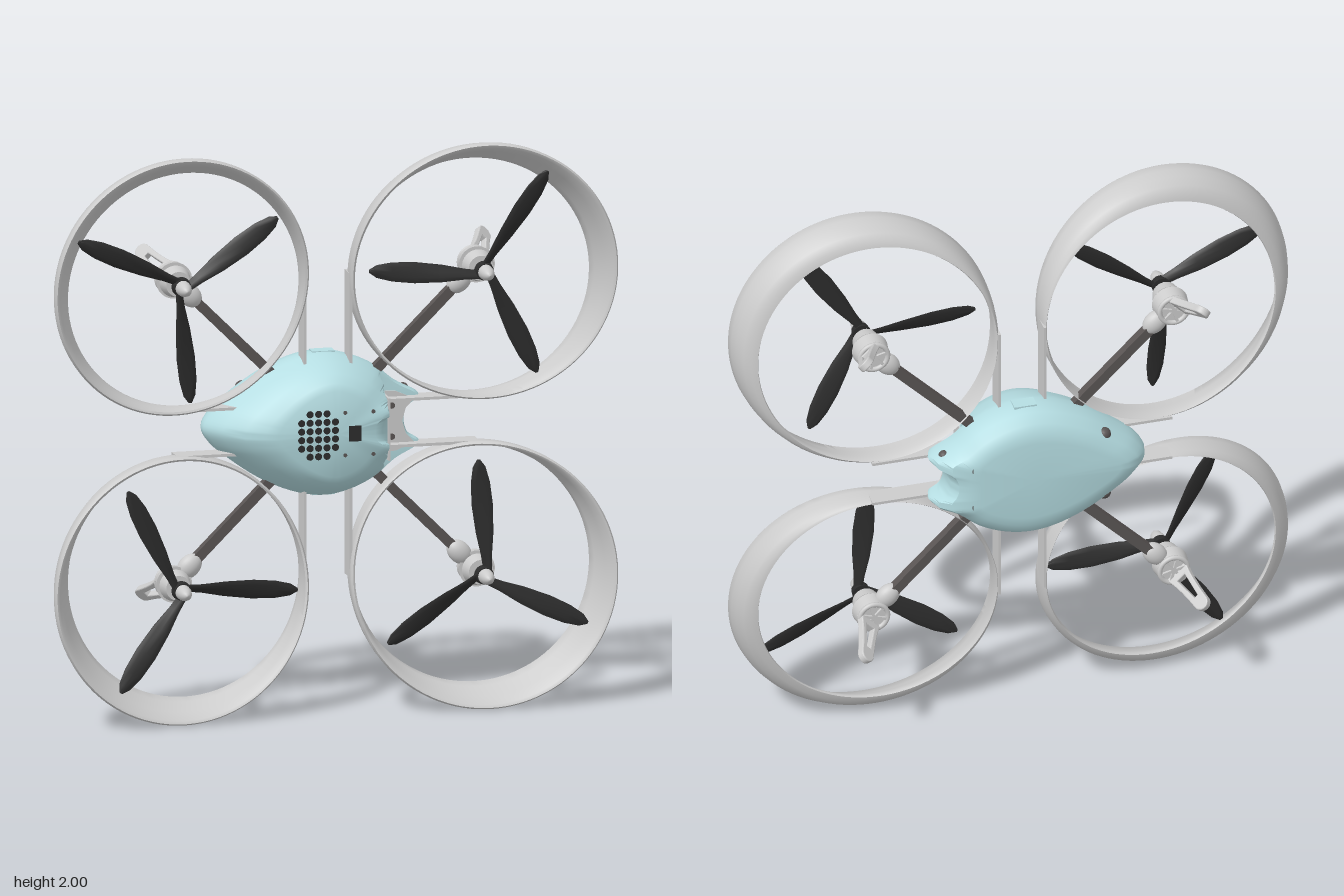
import * as THREE from 'three';
import { toCreasedNormals } from 'three/addons/utils/BufferGeometryUtils.js';

const mat = (color) => new THREE.MeshStandardMaterial({ color, side: THREE.DoubleSide });
const grey = mat(0xcccccc), blue = mat(0xb5dde2), dark = mat(0x2c2c2c), armGrey = mat(0x5a5554);

function add(parent, name, geometry, material, x = 0, y = 0, z = 0) {
  const mesh = new THREE.Mesh(geometry, material);
  mesh.name = name;
  mesh.position.set(x, y, z);
  parent.add(mesh);
  return mesh;
}

// Skin over closed cross-sections; wrap joins last to first, otherwise both ends are capped
function loft(sections, wrap, crease = 0.6) {
  const n = sections[0].length, m = sections.length, pos = [], idx = [];
  sections.forEach((s) => s.forEach((p) => pos.push(p.x, p.y, p.z)));
  for (let i = 0; i < (wrap ? m : m - 1); i++) {
    for (let j = 0; j < n; j++) {
      const k = (j + 1) % n, a = i * n, b = ((i + 1) % m) * n;
      idx.push(a + j, a + k, b + k, a + j, b + k, b + j);
    }
  }
  if (!wrap) {
    [0, m - 1].forEach((i) => {
      const c = new THREE.Vector3(), base = i * n, centre = pos.length / 3;
      sections[i].forEach((p) => c.addScaledVector(p, 1 / n));
      pos.push(c.x, c.y, c.z);
      for (let j = 0; j < n; j++) {
        const k = (j + 1) % n;
        if (i) idx.push(centre, base + j, base + k);
        else idx.push(centre, base + k, base + j);
      }
    });
  }
  const g = new THREE.BufferGeometry();
  g.setAttribute('position', new THREE.Float32BufferAttribute(pos, 3));
  g.setIndex(idx);
  return toCreasedNormals(g, crease);
}

// Cylinder whose axis lies along z
const disc = (rFront, rBack, depth, sides = 28) =>
  new THREE.CylinderGeometry(rFront, rBack, depth, sides).rotateX(Math.PI / 2);

// Propeller guard: deep on the outward side (+x), shallow on the inward side
function guardGeometry() {
  // [shift toward the smaller back edge, depth fraction, inset]
  const profile = [[0, 0, 0.006], [0, 0.07, 0], [0.04, 0.3, 0], [0.15, 0.55, 0], [0.38, 0.8, 0], [0.7, 0.95, 0],
    [1, 1, 0], [1, 0.95, 0.003], [0.75, 0.72, 0.01], [0.35, 0.4, 0.012], [0.06, 0.04, 0.012]];
  const sections = [];
  for (let i = 0; i < 96; i++) {
    const t = (i / 96) * Math.PI * 2, d = Math.cos(t);
    const front = 0.139 + 0.07 * d - 0.02 * d * d, back = 0.01 + 0.045 * d;
    sections.push(profile.map(([s, u, inset]) => {
      const r = 0.4625 - 0.042 * s - inset;
      return new THREE.Vector3(r * d - 0.042 * s, r * Math.sin(t), front + (back - front) * u);
    }));
  }
  return loft(sections, true, 0.9);
}

// Twisted blade along +x; hand sets the turning direction
function bladeGeometry(hand) {
  const stations = [[0.015, 0.016, 0.6], [0.07, 0.02, 0.55], [0.15, 0.031, 0.42], [0.25, 0.037, 0.3],
    [0.33, 0.033, 0.22], [0.385, 0.022, 0.17], [0.41, 0.006, 0.15]];
  const sections = stations.map(([r, half, pitch]) => Array.from({ length: 12 }, (_, j) => {
    const a = (j / 12) * Math.PI * 2, w = half * Math.cos(a), h = 0.006 * Math.sin(a), p = pitch * hand;
    return new THREE.Vector3(r, w * Math.cos(p) - h * Math.sin(p) + hand * (0.012 - r * 0.03), w * Math.sin(p) + h * Math.cos(p));
  }));
  return loft(sections, false, 1);
}

function createRotor(angle, hand) {
  const rotor = new THREE.Group();
  rotor.name = 'rotor';
  const blade = bladeGeometry(hand);
  for (let i = 0; i < 3; i++) add(rotor, 'blade', blade, dark).rotation.z = angle + (i * Math.PI * 2) / 3;
  add(rotor, 'rotorHub', disc(0.03, 0.034, 0.03), dark);
  const spinner = [[0.027, 0], [0.026, 0.025], [0.02, 0.05], [0.01, 0.066], [0, 0.07]].map((p) => new THREE.Vector2(...p));
  add(rotor, 'spinner', new THREE.LatheGeometry(spinner, 24).rotateX(Math.PI / 2), grey, 0, 0, 0.01);
  return rotor;
}

// Slotted landing leg, length along +y
function legGeometry() {
  const s = new THREE.Shape();
  s.moveTo(-0.045, 0);
  s.lineTo(0.045, 0);
  s.quadraticCurveTo(0.026, 0.05, 0.024, 0.155);
  s.absarc(0, 0.155, 0.024, 0, Math.PI, false);
  s.quadraticCurveTo(-0.026, 0.05, -0.045, 0);
  const slot = new THREE.Path();
  slot.moveTo(-0.022, 0.03);
  slot.lineTo(-0.011, 0.13);
  slot.lineTo(0.011, 0.13);
  slot.lineTo(0.022, 0.03);
  s.holes.push(slot);
  return new THREE.ExtrudeGeometry(s, { depth: 0.018, bevelSize: 0.004, bevelThickness: 0.004, bevelSegments: 2, curveSegments: 10 })
    .translate(0, 0, -0.009);
}

// One arm assembly in a frame whose +x points away from the body
function createArm(guard, leg) {
  const g = new THREE.Group();
  add(g, 'propellerGuard', guard, grey);
  add(g, 'arm', new THREE.BoxGeometry(0.5, 0.034, 0.032), armGrey, -0.31, 0, -0.015);
  const socket = add(g, 'armSocket', new THREE.SphereGeometry(0.042, 20, 14), grey, -0.082, 0, -0.012);
  socket.scale.set(1.2, 0.9, 0.75);

  // Motor: base, bell, shaft and spoked back
  add(g, 'motorBase', disc(0.064, 0.056, 0.05), grey, 0, 0, -0.018);
  add(g, 'motorGap', disc(0.046, 0.046, 0.02), dark, 0, 0, 0.014);
  add(g, 'motorBell', disc(0.044, 0.056, 0.05), grey, 0, 0, 0.045);
  add(g, 'motorShaft', disc(0.016, 0.016, 0.06), grey, 0, 0, 0.09);
  add(g, 'motorRim', new THREE.TorusGeometry(0.05, 0.009, 10, 32), grey, 0, 0, -0.045);
  for (let i = 0; i < 3; i++) {
    add(g, 'motorSpoke', new THREE.BoxGeometry(0.1, 0.01, 0.012), grey, 0, 0, -0.046).rotation.z = (i * Math.PI) / 3;
  }

  const foot = add(g, 'landingLeg', leg, grey, 0.022, 0, -0.035);
  const X = new THREE.Vector3(0, 1, 0), Y = new THREE.Vector3(0.45, 0, -0.89).normalize();
  foot.quaternion.setFromRotationMatrix(new THREE.Matrix4().makeBasis(X, Y, X.clone().cross(Y)));

  // Straight strips running from the guard to the body
  const strips = new THREE.Group();
  strips.name = 'guardStrips';
  strips.rotation.z = -Math.PI / 4;
  add(strips, 'guardStrip', new THREE.BoxGeometry(0.01, 0.34, 0.075), grey, -0.456, -0.17, 0.008);
  add(strips, 'guardStrip', new THREE.BoxGeometry(0.34, 0.01, 0.075), grey, -0.17, -0.456, 0.008);
  g.add(strips);
  return g;
}

function createBody() {
  const body = new THREE.Group();
  body.name = 'body';
  body.position.y = 1;
  const half = [[0.285, 0], [0.3, 0.05], [0.342, 0.082], [0.255, 0.135], [0.18, 0.195], [0.09, 0.236], [0, 0.252],
    [-0.1, 0.238], [-0.22, 0.188], [-0.33, 0.115], [-0.4, 0.055], [-0.43, 0]];
  const points = [...half, ...half.slice(1, -1).reverse().map(([x, y]) => [x, -y])];
  const outline = new THREE.CatmullRomCurve3(points.map(([x, y]) => new THREE.Vector3(x, y, 0)), true).getPoints(110).slice(0, -1);
  // [z, width scale, height scale, right limit]
  const layers = [[-0.16, 0.74, 0.6, 0.18], [-0.155, 0.81, 0.73, 0.22], [-0.137, 0.9, 0.87, 0.28], [-0.1, 0.97, 0.97, 0.32],
    [-0.05, 1, 1, 0.35], [-0.02, 0.995, 1, 0.35], [0, 0.97, 0.99, 0.35], [0.004, 0.965, 0.985, 0.195], [0.06, 0.88, 0.92, 0.195],
    [0.12, 0.73, 0.81, 0.195], [0.155, 0.58, 0.7, 0.19], [0.17, 0.48, 0.6, 0.175]];
  const sections = layers.map(([z, sx, sy, lim]) => outline.map((p) => new THREE.Vector3(Math.min(p.x * sx, lim), p.y * sy, z)));
  add(body, 'shell', loft(sections, false), blue);

  // Grey battery recess at the right end: floor, wall and screws
  const floor = new THREE.Shape([[0.19, -0.11], [0.25, -0.105], [0.315, -0.076], [0.285, -0.045], [0.272, 0],
    [0.285, 0.045], [0.315, 0.076], [0.25, 0.105], [0.19, 0.11]].map((p) => new THREE.Vector2(...p)));
  add(body, 'recessFloor', new THREE.ExtrudeGeometry(floor, { depth: 0.008, bevelEnabled: false }), grey);
  add(body, 'recessWall', new THREE.BoxGeometry(0.008, 0.22, 0.135), grey, 0.195, 0, 0.072);
  for (const s of [-1, 1]) {
    add(body, 'recessScrew', disc(0.011, 0.011, 0.006, 16), armGrey, 0.235, s * 0.055, 0.009);
    add(body, 'frontLens', new THREE.SphereGeometry(0.02, 16, 12), armGrey, 0.292, s * 0.098, -0.065);
    add(body, 'rearLens', disc(0.016, 0.016, 0.02, 18), armGrey, 0.2, s * 0.075, -0.146);
    add(body, 'sideLens', new THREE.SphereGeometry(0.024, 16, 12), armGrey, -0.268, s * 0.12, -0.115);
    add(body, 'sideConnector', new THREE.BoxGeometry(0.08, 0.02, 0.05), blue, 0, s * 0.244, -0.045);
  }

  // Vent holes, port and small screws on the front face
  for (let c = 0; c < 5; c++) {
    for (let r = 0; r < 6; r++) {
      if ((c === 0 || c === 4) && (r === 0 || r === 5)) continue;
      add(body, 'ventHole', disc(0.0125, 0.0125, 0.004, 14), dark, -0.125 + c * 0.03, -0.075 + r * 0.03, 0.17);
    }
  }
  add(body, 'port', new THREE.BoxGeometry(0.045, 0.055, 0.004), dark, 0.065, 0, 0.17);
  for (const x of [0.03, 0.13]) {
    for (const y of [-0.075, 0.075]) add(body, 'screw', disc(0.007, 0.007, 0.004, 12), armGrey, x, y, 0.17);
  }
  return body;
}

export function createModel() {
  const model = new THREE.Group();
  model.name = 'quadcopter';
  model.add(createBody());
  const guard = guardGeometry(), leg = legGeometry();
  // [x side, y side, first blade angle in degrees]
  [[-1, 1, 34], [1, 1, 57], [-1, -1, -2], [1, -1, 93]].forEach(([sx, sy, deg]) => {
    const arm = createArm(guard, leg);
    arm.name = (sy > 0 ? 'upper' : 'lower') + (sx > 0 ? 'Left' : 'Right') + 'Arm';
    arm.position.set(sx * 0.5375, 1 + sy * 0.5375, 0);
    arm.rotation.z = Math.atan2(sy, sx);
    const rotor = createRotor(THREE.MathUtils.degToRad(deg) - arm.rotation.z, sx * sy);
    rotor.position.z = 0.12;
    arm.add(rotor);
    model.add(arm);
  });
  return model;
}
